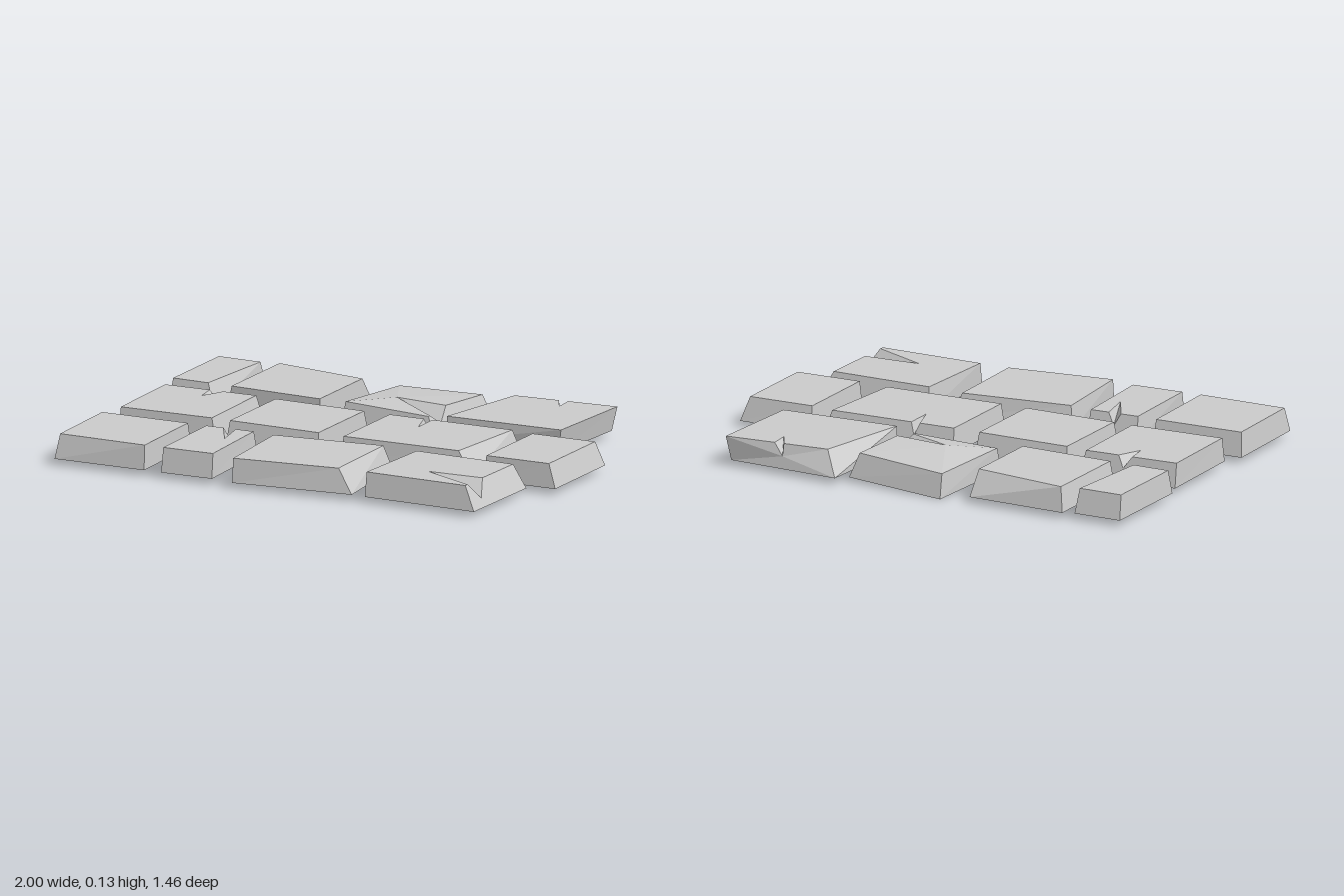
import * as THREE from 'three';

const LOW = 0.025, HEIGHT = 0.1;
// corner signs in x and z: back-left, back-right, front-right, front-left
const CORNERS = [[-1, -1], [1, -1], [1, 1], [-1, 1]];

// Skewed slab footprint: "run" shifts z across the width, "lean" shifts x
// along the depth, "flare" spreads one end; "tilt" tips the slab about x and z.
function footprint([x, z, w, d], { run = 0, lean = 0, flare = 0, tilt = [0, 0], lift = 0 }) {
  return CORNERS.map(([u, v]) => new THREE.Vector3(
    x + (u * w + v * lean) / 2,
    LOW + lift + u * tilt[0] + v * tilt[1],
    z + (v * d + u * run) / 2 + u * v * flare,
  ));
}

// Insets run back, right, front, left; a pair tapers clockwise along its side.
function topFace(base, insets) {
  const inset = (side, end) => [insets[side]].flat().at(end);
  return base.map((p, i) => {
    const ending = inset((i + 3) % 4, -1), starting = inset(i, 0);
    const [dx, dz] = i % 2 ? [starting, ending] : [ending, starting];
    const [u, v] = CORNERS[i];
    return new THREE.Vector3(p.x - u * dx, p.y + HEIGHT, p.z - v * dz);
  });
}

// Wedge broken out of one top edge, with its point on the top face
function breakEdge(b, t, { edge, from, to, tip, depth = 0.5, drop = 0 }) {
  const next = (edge + 1) % 4;
  const start = t[edge].clone().lerp(t[next], from);
  t[next].y -= drop;
  const along = (list, k) => list[edge].clone().lerp(list[next], k);
  const mid = (from + to) / 2;
  return {
    edge,
    start,
    end: along(t, to),
    tip: new THREE.Vector3(tip[0], start.y, tip[1]),
    low: along(t, mid).lerp(along(b, mid), depth),
  };
}

function stoneGeometry(size, insets, options) {
  const b = footprint(size, options);
  const t = topFace(b, insets);
  const chip = options.chip && breakEdge(b, t, options.chip);
  const points = [];
  const fan = (hub, ...ring) => {
    for (let i = 0; i + 1 < ring.length; i++) points.push(hub, ring[i], ring[i + 1]);
  };

  // underside
  fan(...b);

  // sides, and the broken edge where there is one
  for (let i = 0; i < 4; i++) {
    const j = (i + 1) % 4;
    if (chip?.edge === i) {
      const { start, end, tip, low } = chip;
      fan(low, end, t[j], b[j], b[i], t[i], start);
      fan(low, start, tip, end);
      fan(tip, start, t[i], t[(i + 3) % 4], t[(i + 2) % 4], t[j], end);
    } else {
      fan(t[i], t[j], b[j], b[i]);
    }
  }

  // unbroken top
  if (!chip) fan(t[0], t[3], t[2], t[1]);

  const geometry = new THREE.BufferGeometry().setFromPoints(points);
  geometry.computeVertexNormals();
  return geometry;
}

export function createModel() {
  const group = new THREE.Group();
  group.name = 'pavingStones';
  const material = new THREE.MeshStandardMaterial({ color: 0xcccccc, flatShading: true });

  // size is [centre x, centre z, width, depth]
  const stone = (name, size, insets, options = {}) => {
    const mesh = new THREE.Mesh(stoneGeometry(size, insets, options), material);
    mesh.name = name;
    group.add(mesh);
  };

  // back row, from the right
  stone('backNarrowStone', [-0.895, -0.474, 0.207, 0.432], [0.025, [0.01, 0.04], 0.02, 0.008]);
  stone('backSlopedStone', [-0.53, -0.488, 0.43, 0.43], [[0.025, 0.07], 0.004, 0, 0.02], { run: 0.01 });
  stone('backTiltedStone', [0.008, -0.484, 0.435, 0.423], [0.025, 0.035, 0.025, 0.005], {
    run: 0.033, lean: -0.045, tilt: [0.01, 0.0075], lift: -0.0075,
    chip: { edge: 1, from: 0.68, to: 0.97, tip: [-0.05, -0.42], drop: 0.025 },
  });
  stone('backOuterStone', [0.512, -0.508, 0.485, 0.435], [[0.05, -0.01], -0.02, [-0.015, 0], [0, 0.06]], {
    run: -0.01, lean: -0.025, flare: -0.015,
    chip: { edge: 0, from: 0.43, to: 0.52, tip: [0.58, -0.62] },
  });

  // middle row
  stone('middleInnerStone', [-0.755, 0.008, 0.43, 0.425], [0.02, 0.023, 0.012, 0.004], {
    run: -0.02, lean: 0.01,
    chip: { edge: 0, from: 0.49, to: 0.64, tip: [-0.76, -0.09] },
  });
  stone('middleSquareStone', [-0.275, 0.005, 0.42, 0.43], [0.025, 0.008, 0.02, 0.01]);
  stone('middleWideStone', [0.326, -0.008, 0.587, 0.425], [0.025, [0.03, 0.065], 0.012, 0.01], {
    run: -0.02,
    chip: { edge: 0, from: 0.28, to: 0.35, tip: [0.235, -0.07] },
  });
  stone('middleNarrowStone', [0.84, -0.011, 0.32, 0.422], [0.025, 0.032, 0.007, 0.008], { run: -0.008 });

  // front row
  stone('frontSquareStone', [-0.794, 0.511, 0.4, 0.422], [0.02, 0.005, [0.015, 0.025], 0.012], {
    run: -0.012, lean: 0.012,
  });
  stone('frontNarrowStone', [-0.408, 0.498, 0.225, 0.425], [0.025, 0.005, 0.018, [0, 0.01]], {
    run: -0.01, lean: 0.02,
    chip: { edge: 0, from: 0.36, to: 0.62, tip: [-0.36, 0.46] },
  });
  stone('frontWideStone', [0.048, 0.476, 0.51, 0.432], [0.025, [0.03, 0.065], 0.01, [0, 0.015]], {
    run: -0.062, lean: 0.045,
  });
  stone('frontOuterStone', [0.64, 0.452, 0.495, 0.425], [0.025, 0.047, 0.015, [0, 0.01]], {
    lean: -0.01,
    chip: { edge: 1, from: 0.64, to: 0.95, tip: [0.6, 0.525], depth: 0.65 },
  });
  return group;
}
